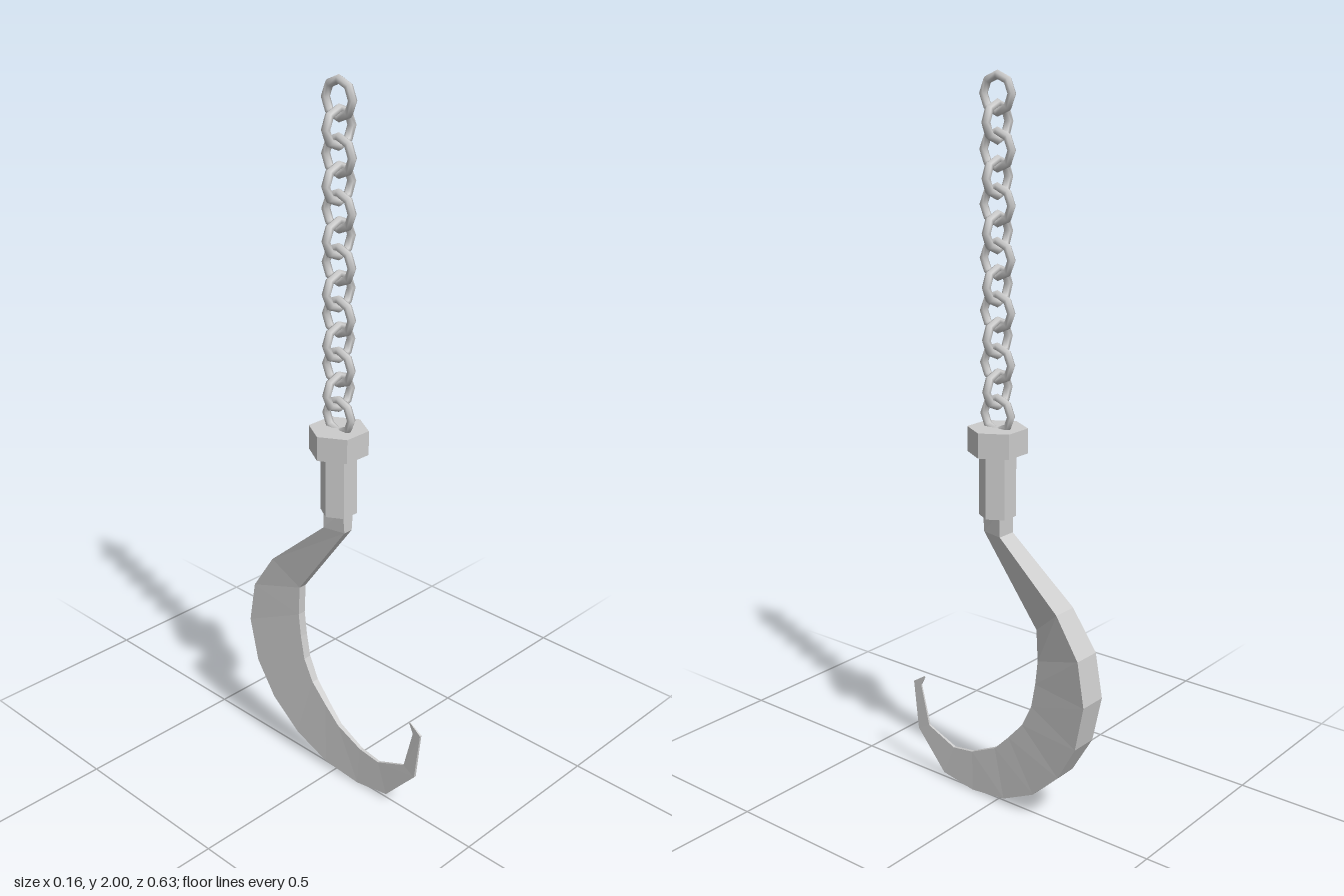
import * as THREE from 'three';

const material = new THREE.MeshStandardMaterial({ color: 0xcccccc, flatShading: true });
const smooth = new THREE.MeshStandardMaterial({ color: 0xcccccc });
const AXIS_Z = 0.005;

function addMesh(parent, name, geometry, mat = material) {
  const mesh = new THREE.Mesh(geometry, mat);
  mesh.name = name;
  parent.add(mesh);
  return mesh;
}

// Hexagonal prism with corners pointing to +x and -x
function hexPrism(parent, name, radius, y0, y1) {
  const geometry = new THREE.CylinderGeometry(radius, radius, y1 - y0, 6).rotateY(Math.PI / 6);
  addMesh(parent, name, geometry).position.set(0, (y0 + y1) / 2, AXIS_Z);
}

// Blade stations: [outer z, outer y, inner z, inner y, outer half width, inner half width]
const STATIONS = [
  [-0.025, 0.87, 0.04, 0.87, 0.028, 0.02],
  [-0.025, 0.80, 0.04, 0.80, 0.028, 0.014],
  [-0.222, 0.63, -0.138, 0.56, 0.037, 0.012],
  [-0.295, 0.52, -0.143, 0.47, 0.041, 0.012],
  [-0.317, 0.395, -0.135, 0.40, 0.042, 0.012],
  [-0.29, 0.265, -0.122, 0.33, 0.040, 0.012],
  [-0.23, 0.16, -0.09, 0.265, 0.034, 0.011],
  [-0.14, 0.075, -0.04, 0.21, 0.026, 0.009],
  [-0.03, 0.02, 0.01, 0.16, 0.017, 0.007],
  [0.09, 0.003, 0.095, 0.12, 0.010, 0.005],
  [0.20, 0.02, 0.165, 0.11, 0.007, 0.004],
  [0.30, 0.13, 0.26, 0.15, 0.004, 0.003],
  [0.317, 0.275, 0.29, 0.27, 0.003, 0.002],
  [0.278, 0.30, 0.275, 0.298, 0.001, 0.001],
];

// Curved blade: broad back, narrow inner edge, skinned station by station
function bladeGeometry() {
  const positions = [];
  const index = [];
  for (const [oz, oy, iz, iy, ow, iw] of STATIONS) {
    positions.push(ow, oy, oz, iw, iy, iz, -iw, iy, iz, -ow, oy, oz);
  }
  for (let s = 0; s < STATIONS.length - 1; s++) {
    for (let k = 0; k < 4; k++) {
      const a = s * 4 + k;
      const b = s * 4 + (k + 1) % 4;
      index.push(a, b, b + 4, a, b + 4, a + 4);
    }
  }
  const e = (STATIONS.length - 1) * 4;
  index.push(0, 2, 1, 0, 3, 2, e, e + 1, e + 2, e, e + 2, e + 3);
  const geometry = new THREE.BufferGeometry();
  geometry.setAttribute('position', new THREE.Float32BufferAttribute(positions, 3));
  geometry.setIndex(index);
  geometry.computeVertexNormals();
  return geometry;
}

export function createModel() {
  const model = new THREE.Group();
  model.name = 'hookOnChain';

  // Chain: links turn a quarter at every step; the lowest sits in the collar
  const chain = new THREE.Group();
  chain.name = 'chain';
  model.add(chain);
  const link = new THREE.TorusGeometry(0.045, 0.0115, 6, 8);
  for (let i = 0; i < 13; i++) {
    const mesh = addMesh(chain, 'chainLink', link, smooth);
    mesh.position.set(0, 1.9435 - i * 0.068, AXIS_Z);
    mesh.rotation.y = i % 2 ? 0 : Math.PI / 2;
  }

  // Socket
  hexPrism(model, 'collar', 0.081, 1.025, 1.093);
  hexPrism(model, 'sleeve', 0.05, 0.85, 1.03);

  // Hook
  addMesh(model, 'hookBlade', bladeGeometry());
  return model;
}
